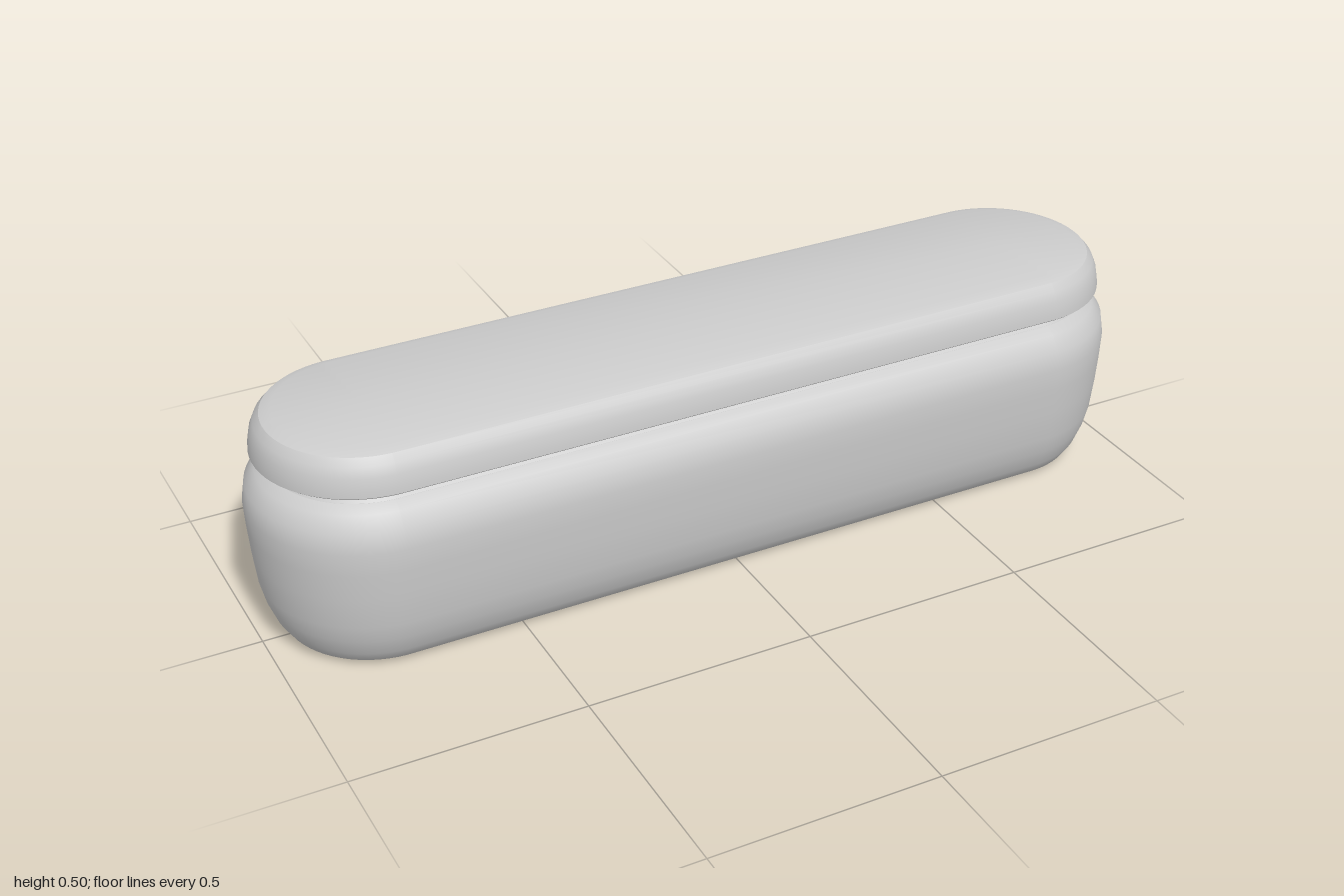
import * as THREE from 'three';
import { toCreasedNormals } from 'three/addons/utils/BufferGeometryUtils.js';

const SEGMENTS = 64;
const HALF_STRAIGHT = 0.75; // half length of the straight sides

const material = new THREE.MeshStandardMaterial({ color: 0xcccccc });

// Turn a [radius, y] profile, then pull the two halves apart into a stadium plan.
function stadiumLathe(name, profile) {
  const step = (Math.PI * 2) / SEGMENTS;
  const points = profile.map(([r, y]) => new THREE.Vector2(r, y));
  const geometry = new THREE.LatheGeometry(points, SEGMENTS, step / 2, Math.PI * 2);
  const position = geometry.attributes.position;
  for (let i = 0; i < position.count; i++) {
    const column = Math.floor(i / points.length);
    const side = Math.sign(Math.sin((column + 0.5) * step));
    position.setX(i, position.getX(i) + side * HALF_STRAIGHT);
  }
  const mesh = new THREE.Mesh(toCreasedNormals(geometry, 0.52), material);
  mesh.name = name;
  return mesh;
}

export function createModel() {
  const group = new THREE.Group();
  group.name = 'lozengeCase';

  // Bulging body with a rounded shoulder
  group.add(stadiumLathe('body', [
    [0, 0], [0.175, 0], [0.196, 0.013], [0.213, 0.04], [0.228, 0.08],
    [0.237, 0.12], [0.244, 0.19], [0.248, 0.25], [0.25, 0.3],
    [0.243, 0.343], [0.22, 0.374], [0.198, 0.387], [0, 0.387],
  ]));

  // Recessed neck between body and lid
  group.add(stadiumLathe('neck', [
    [0.198, 0.386], [0.191, 0.395], [0.191, 0.401], [0.196, 0.408],
  ]));

  // Overhanging lid with a softened top edge
  group.add(stadiumLathe('lid', [
    [0, 0.407], [0.196, 0.407], [0.222, 0.412], [0.228, 0.417],
    [0.227, 0.43], [0.222, 0.457], [0.213, 0.478], [0.2, 0.493],
    [0.177, 0.501], [0, 0.501],
  ]));

  return group;
}
